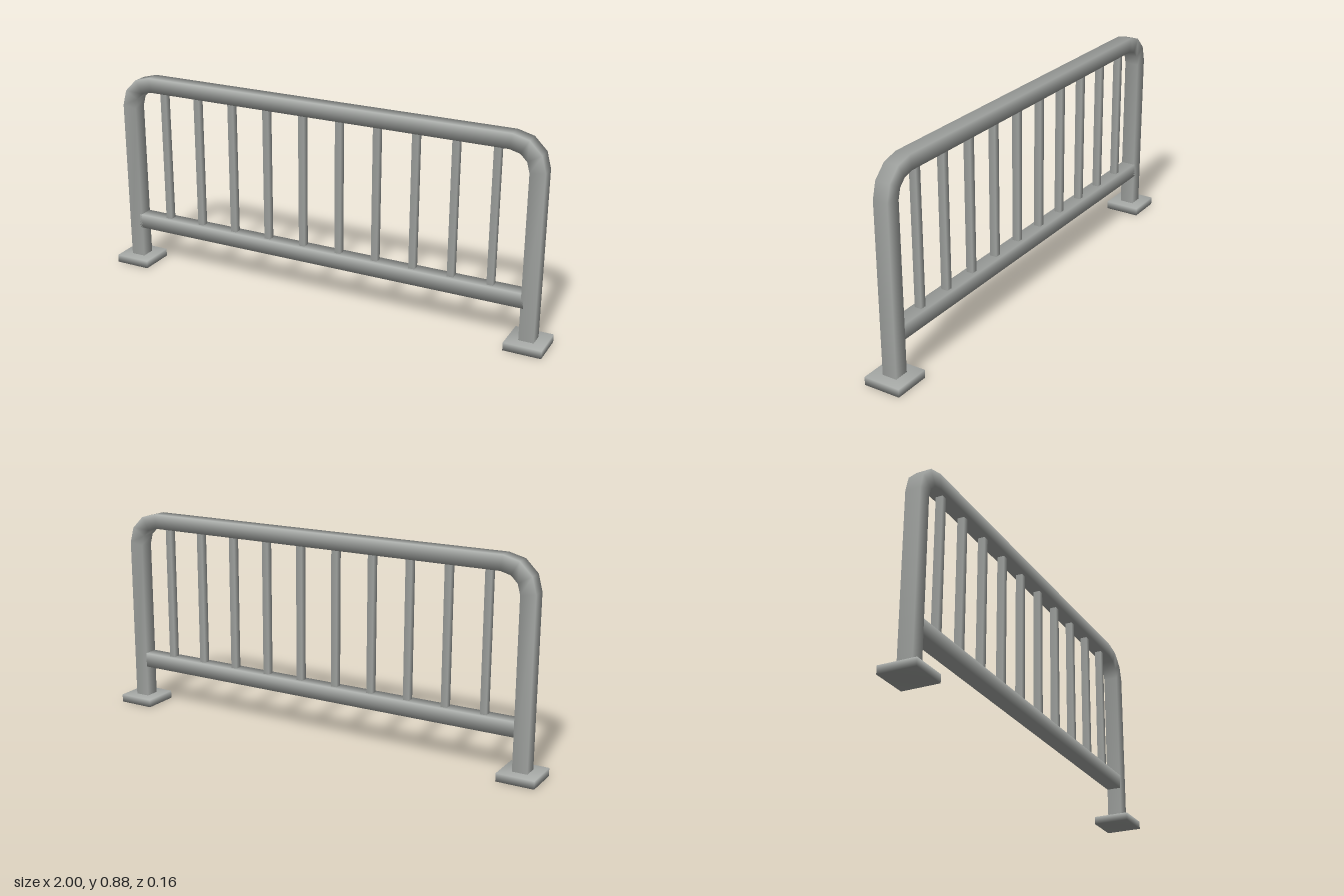
import * as THREE from 'three';
import { mergeVertices } from 'three/addons/utils/BufferGeometryUtils.js';

// Square bar swept along a path in the xy plane, with soft corner normals
function squareBar(path, halfWidth, halfDepth) {
  const pos = [], nor = [], index = [];
  const corners = [[1, 1], [-1, 1], [-1, -1], [1, -1]];
  const dir = (a, b) => b.clone().sub(a).normalize();
  path.forEach((p, i) => {
    const before = i > 0 ? dir(path[i - 1], p) : dir(p, path[1]);
    const after = i < path.length - 1 ? dir(p, path[i + 1]) : before;
    const t = before.clone().add(after).normalize();
    const w = halfWidth / t.dot(before); // mitred joint
    for (const [a, b] of corners) {
      pos.push(p.x - t.y * a * w, p.y + t.x * a * w, b * halfDepth);
      nor.push(-t.y * a * Math.SQRT1_2, t.x * a * Math.SQRT1_2, b * Math.SQRT1_2);
    }
    if (i === 0) return;
    for (let j = 0; j < 4; j++) {
      const k = (j + 1) % 4, lo = (i - 1) * 4, hi = i * 4;
      index.push(lo + j, lo + k, hi + k, lo + j, hi + k, hi + j);
    }
  });
  const g = new THREE.BufferGeometry();
  g.setAttribute('position', new THREE.Float32BufferAttribute(pos, 3));
  g.setAttribute('normal', new THREE.Float32BufferAttribute(nor, 3));
  g.setIndex(index);
  return g;
}

// Box whose faces share their corner normals
function softBox(w, h, d) {
  let g = new THREE.BoxGeometry(w, h, d);
  g.deleteAttribute('uv');
  g.deleteAttribute('normal');
  g = mergeVertices(g);
  g.computeVertexNormals();
  return g;
}

export function createModel() {
  const group = new THREE.Group();
  const steel = new THREE.MeshStandardMaterial({ color: 0xa9aca9 });
  steel.name = 'galvanisedSteel';
  const add = (name, geometry, x = 0, y = 0) => {
    const mesh = new THREE.Mesh(geometry, steel);
    mesh.name = name;
    mesh.position.set(x, y, 0);
    group.add(mesh);
  };
  const v = (x, y) => new THREE.Vector2(x, y);

  // Outer frame: post, bend, top rail, bend, post
  const postX = 0.921, topY = 0.848, r = 0.11, half = 0.0315;
  const path = [v(-postX, 0.03)];
  for (const [side, start] of [[-1, Math.PI], [1, Math.PI / 2]]) {
    for (let i = 0; i <= 3; i++) {
      const a = start - (i * Math.PI) / 6;
      path.push(v(side * (postX - r) + r * Math.cos(a), topY - r + r * Math.sin(a)));
    }
  }
  path.push(v(postX, 0.03));
  add('outerFrame', squareBar(path, half, half));

  // Lower rail between the posts
  add('lowerRail', squareBar([v(-0.9, 0.205), v(0.9, 0.205)], half, half));

  // Ten upright bars
  for (let i = 0; i < 10; i++) {
    const x = (i - 4.5) * 0.1675;
    add('uprightBar', squareBar([v(x, 0.22), v(x, 0.83)], 0.0135, 0.015));
  }

  // Foot plates
  for (const side of [-1, 1]) add('footPlate', softBox(0.158, 0.034, 0.158), side * 0.921, 0.017);

  return group;
}
